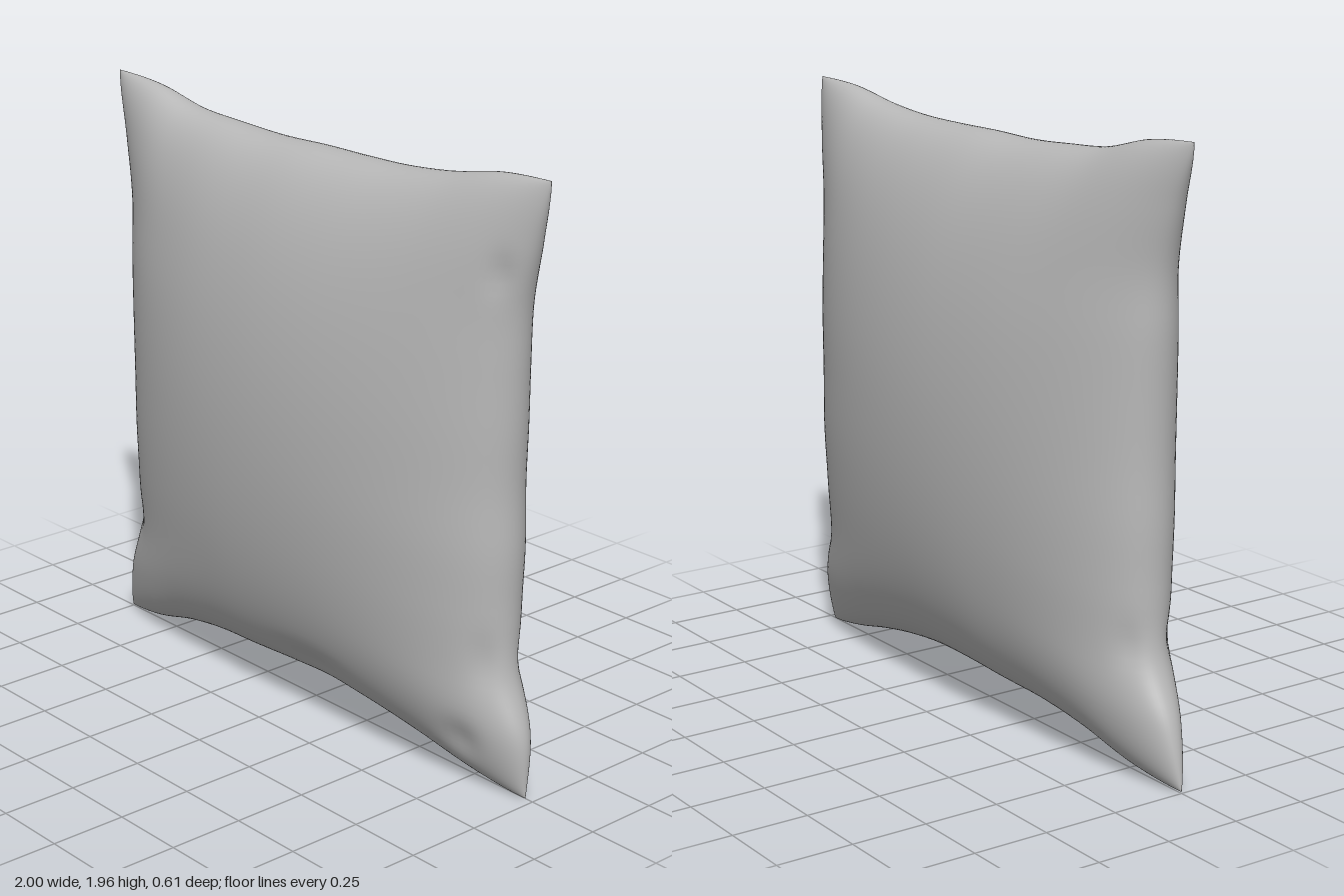
import * as THREE from 'three';
import { mergeGeometries, mergeVertices } from 'three/addons/utils/BufferGeometryUtils.js';

// Smooth curve through evenly spaced values, t from 0 to 1
const profile = (values) => {
  const curve = new THREE.SplineCurve(values.map((v, i) => new THREE.Vector2(i, v)));
  return (t) => curve.getPoint(t).y;
};

// Seam outline: x of the sides going up, y of the hems going left to right
const sideA = profile([-1, -0.96, -0.88, -0.868, -0.868, -0.865, -0.87, -0.88, -0.89, -0.94, -1]);
const sideB = profile([0.97, 0.965, 0.9, 0.89, 0.893, 0.886, 0.893, 0.9, 0.915, 0.96, 1]);
const hemTop = profile([1.96, 1.945, 1.9, 1.885, 1.876, 1.88, 1.88, 1.885, 1.905, 1.94, 1.95]);
const hemBottom = profile([0.01, 0.035, 0.085, 0.115, 0.125, 0.135, 0.135, 0.115, 0.08, 0.035, 0.005]);

// Soft dents in the cloth: x, y, radius x, radius y, depth
const frontDents = [
  [0.14, 0.22, 0.12, 0.05, 0.02],
  [0.78, 0.17, 0.06, 0.06, 0.015],
  [0.86, 0.45, 0.04, 0.08, 0.012],
  [-0.83, 0.44, 0.05, 0.06, 0.012],
  [0.88, 1.66, 0.04, 0.06, 0.012],
];
const backDents = [
  [0.86, 0.42, 0.05, 0.07, 0.012],
  [-0.84, 0.44, 0.04, 0.06, 0.01],
];

// One bulging panel; side is 1 for the front and -1 for the back
function panel(side, dents) {
  const geo = new THREE.PlaneGeometry(2, 2, 72, 72);
  const pos = geo.attributes.position;
  for (let i = 0; i < pos.count; i++) {
    // Sine spacing crowds rows at the seam so the edge rounds over smoothly
    const a = pos.getX(i) * side * Math.PI / 2;
    const b = pos.getY(i) * Math.PI / 2;
    const u = (Math.sin(a) + 1) / 2;
    const v = (Math.sin(b) + 1) / 2;
    const x = THREE.MathUtils.lerp(sideA(v), sideB(v), u);
    const y = THREE.MathUtils.lerp(hemBottom(u), hemTop(u), v);
    const ca = Math.max(0, Math.cos(a)), cb = Math.max(0, Math.cos(b));
    // The lower half sags a little fuller than the upper
    let z = 0.304 * ca ** 0.98 * cb ** (b < 0 ? 0.86 : 0.96);
    const fade = Math.min(1, z / 0.08);
    for (const [dx, dy, rx, ry, depth] of dents) {
      z -= fade * depth * Math.exp(-(((x - dx) / rx) ** 2) - ((y - dy) / ry) ** 2);
    }
    if (ca < 1e-6 || cb < 1e-6) z = 0;
    pos.setXYZ(i, x, y, z * side);
  }
  geo.deleteAttribute('uv');
  geo.deleteAttribute('normal');
  return geo;
}

export function createModel() {
  const group = new THREE.Group();
  group.name = 'pillow';
  const cloth = new THREE.MeshStandardMaterial({ color: 0xb8b8b8 });
  cloth.name = 'grey cloth';

  // Join both panels along the seam for continuous smooth normals
  const geo = mergeVertices(mergeGeometries([panel(1, frontDents), panel(-1, backDents)]), 1e-5);
  geo.computeVertexNormals();
  const cushion = new THREE.Mesh(geo, cloth);
  cushion.name = 'cushion';
  group.add(cushion);
  return group;
}
